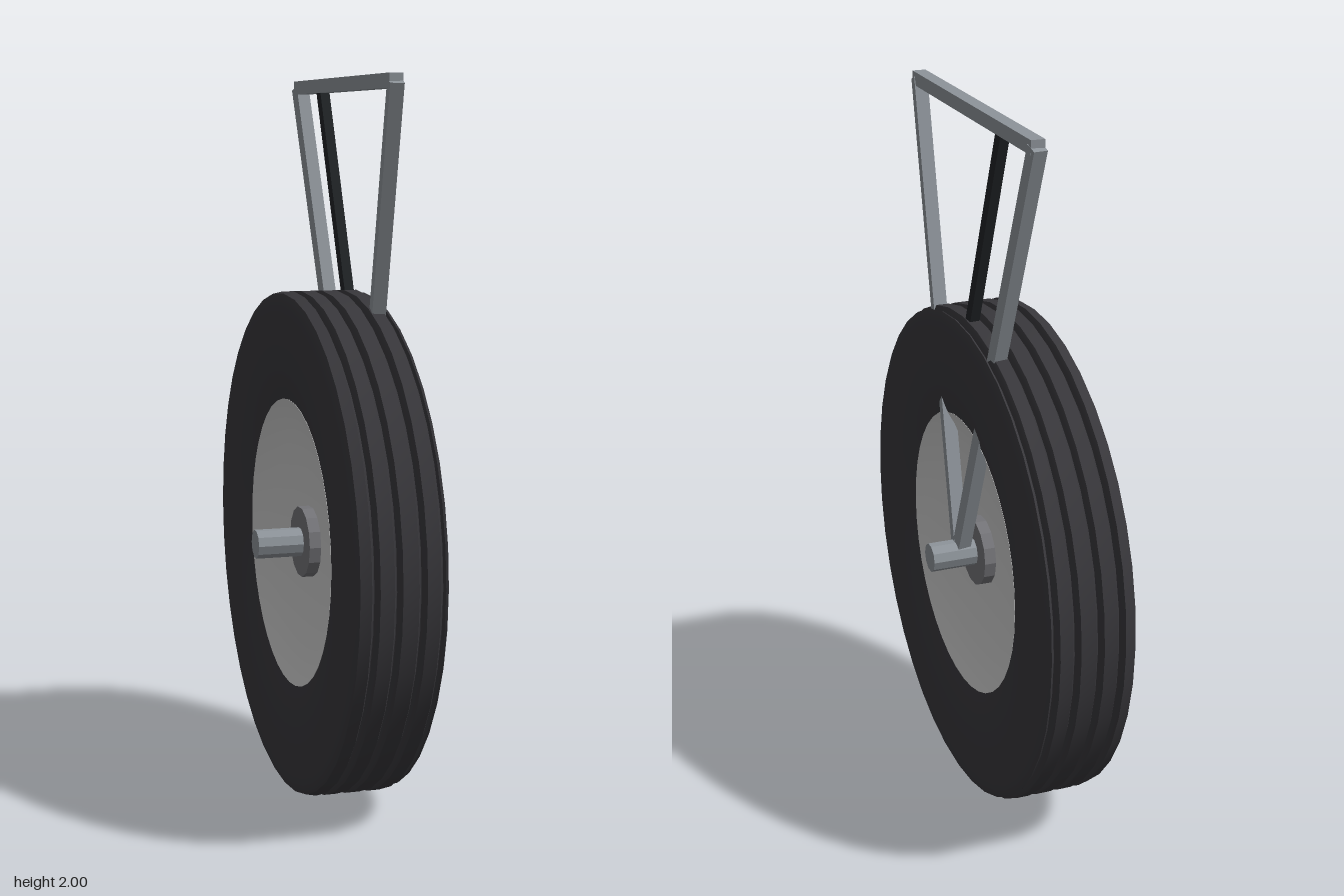
import * as THREE from 'three';
import { toCreasedNormals } from 'three/addons/utils/BufferGeometryUtils.js';

const AXLE_Y = 0.708;

const mat = (color) => new THREE.MeshStandardMaterial({ color });

export function createModel() {
  const model = new THREE.Group();
  const rubber = mat(0x38373b);
  const rimMetal = mat(0xcccccc);
  const steel = mat(0x8e949a);
  const hubMetal = mat(0x747478);
  const dark = mat(0x202326);

  const add = (name, geometry, material) => {
    const mesh = new THREE.Mesh(geometry, material);
    mesh.name = name;
    model.add(mesh);
    return mesh;
  };

  // Turns a [radius, x] profile around the axle; runs from -x to +x
  const turned = (name, profile, segments, material) => {
    const points = profile.map(([r, x]) => new THREE.Vector2(r, x));
    const geometry = toCreasedNormals(new THREE.LatheGeometry(points, segments), 0.6);
    geometry.rotateZ(-Math.PI / 2);
    geometry.translate(0, AXLE_Y, 0);
    return add(name, geometry, material);
  };

  // Square bar between two points
  const bar = (name, from, to, size, material) => {
    const a = new THREE.Vector3(...from);
    const b = new THREE.Vector3(...to);
    const mesh = add(name, new THREE.BoxGeometry(size, size, a.distanceTo(b)), material);
    mesh.position.copy(a).add(b).multiplyScalar(0.5);
    mesh.lookAt(b);
    return mesh;
  };

  // Tyre: rounded sidewalls and a grooved tread
  const sidewall = [[0.39, 0.085], [0.402, 0.1], [0.43, 0.108], [0.47, 0.117],
    [0.52, 0.122], [0.6, 0.124], [0.67, 0.124], [0.69, 0.122]];
  const tread = [[0.702, -0.116]];
  for (const x of [-0.076, -0.016, 0.049, 0.107]) {
    tread.push([0.708, x - 0.011], [0.698, x - 0.005], [0.682, x - 0.003],
      [0.682, x + 0.003], [0.698, x + 0.005]);
    if (x < 0.1) tread.push([0.708, x + 0.011]);
  }
  tread.push([0.7, 0.117]);
  turned('tyre', [
    ...sidewall.map(([r, x]) => [r, -x]),
    ...tread,
    ...sidewall.slice().reverse(),
  ], 40, rubber);

  // Rim: dished on both faces
  const dish = [[0, 0.035], [0.1, 0.037], [0.2, 0.046], [0.3, 0.064], [0.37, 0.085], [0.406, 0.102]];
  turned('rim', [
    ...dish.map(([r, x]) => [r, -x]),
    ...dish.slice().reverse(),
  ], 40, rimMetal);

  // Hub and axle
  const hub = new THREE.CylinderGeometry(0.1, 0.1, 0.14, 14).toNonIndexed();
  const axle = new THREE.CylinderGeometry(0.041, 0.041, 0.4, 10).toNonIndexed();
  for (const [name, geometry, material] of [['hub', hub, hubMetal], ['axle', axle, steel]]) {
    geometry.computeVertexNormals();
    geometry.rotateZ(Math.PI / 2);
    add(name, geometry, material).position.y = AXLE_Y;
  }

  // Frame: two struts from the axle up to a crossbar
  for (const side of [1, -1]) {
    bar(side > 0 ? 'frontStrut' : 'rearStrut',
      [0.108, AXLE_Y, 0], [0.06, 1.98, side * 0.437], 0.038, steel);
  }
  bar('crossbar', [0.06, 1.981, -0.44], [0.06, 1.981, 0.44], 0.038, steel);

  // Slanted dark brace
  bar('brace', [0.085, 1.2, 0.04], [0.06, 1.97, -0.208], 0.028, dark);

  return model;
}
